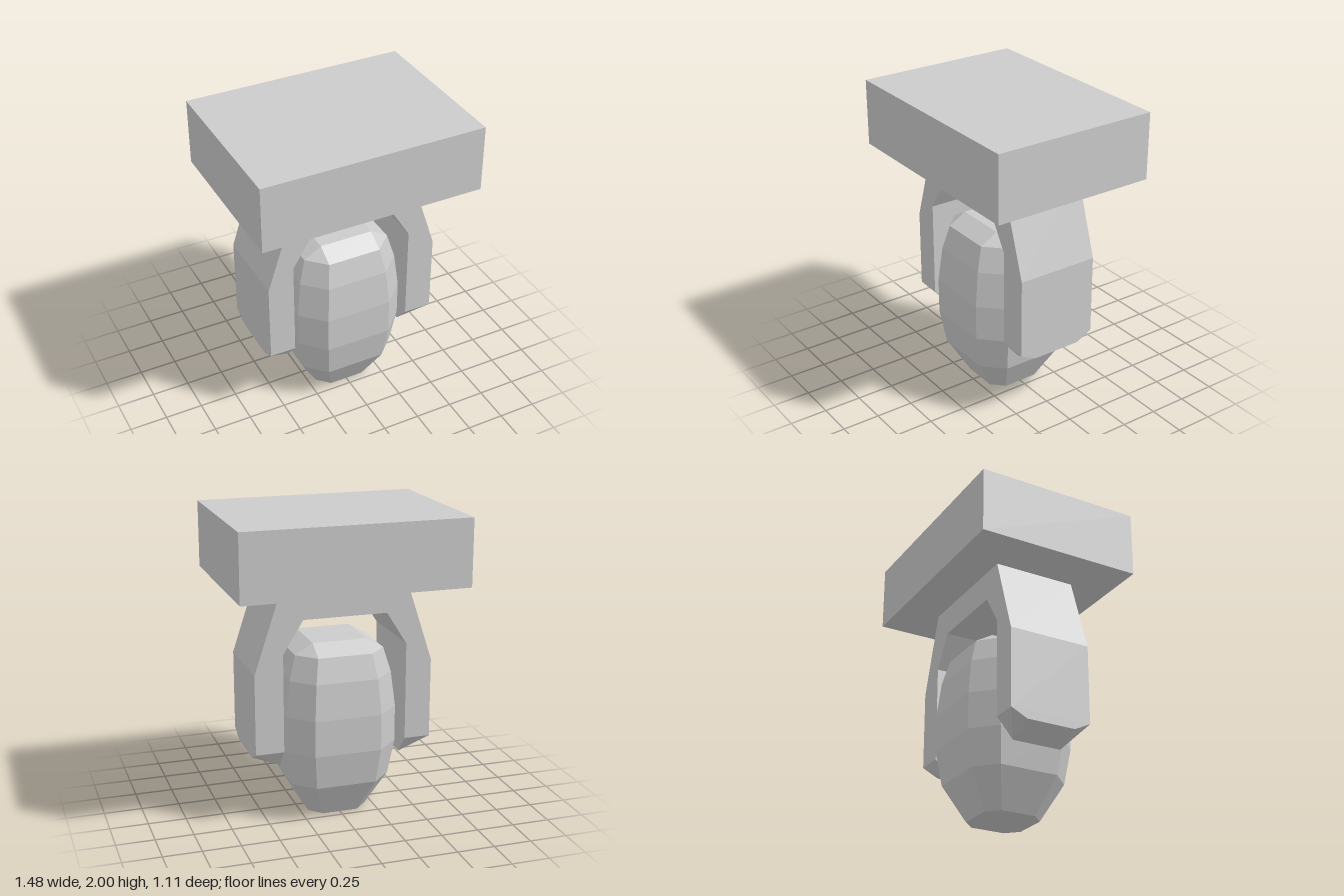
import * as THREE from 'three';
import { ConvexGeometry } from 'three/addons/geometries/ConvexGeometry.js';

const material = new THREE.MeshStandardMaterial({ color: 0xcccccc, flatShading: true });

function part(name, geometry) {
  const mesh = new THREE.Mesh(geometry, material);
  mesh.name = name;
  return mesh;
}

export function createModel() {
  const group = new THREE.Group();
  group.name = 'hangingPod';

  // Mounting block
  const block = part('mountingBlock', new THREE.BoxGeometry(1.48, 0.44, 1.11));
  block.position.y = 1.78;
  group.add(block);

  // Fork-shaped yoke hanging below the block
  const depth = 0.278;
  const outline = [
    [-0.42, 1.56], [-0.593, 1.03], [-0.593, 0.5], [-0.42, 0.5], [-0.42, 1.15], [-0.285, 1.365],
    [0.27, 1.365], [0.403, 1.15], [0.403, 0.5], [0.59, 0.5], [0.59, 1.03], [0.415, 1.56],
  ];
  const shape = new THREE.Shape(outline.map(([x, y]) => new THREE.Vector2(x, y)));
  const yoke = new THREE.ExtrudeGeometry(shape, { depth: 2 * depth, bevelEnabled: false });
  yoke.translate(0, 0, -depth);
  group.add(part('yoke', yoke));

  // Tapered tips under the yoke arms, longer on the inner side
  for (const [name, inner, outer] of [['leftArmTip', 0.403, 0.59], ['rightArmTip', -0.42, -0.593]]) {
    const points = [];
    for (const s of [-1, 1]) {
      points.push(
        new THREE.Vector3(inner, 0.5, s * depth), new THREE.Vector3(outer, 0.5, s * depth),
        new THREE.Vector3(inner, 0.37, s * 0.167), new THREE.Vector3(outer, 0.445, s * 0.167));
    }
    group.add(part(name, new ConvexGeometry(points)));
  }

  // Eight-sided pod: height, half width, half width of the flat side;
  // the last ring closes to a square cap
  const rings = [
    [0, 0.197, 0.118], [0.24, 0.33, 0.2], [0.475, 0.37, 0.222], [0.715, 0.37, 0.222],
    [0.95, 0.343, 0.206], [1.11, 0.298, 0.18], [1.18, 0.18, 0.18],
  ];
  const podPoints = [];
  for (const [y, wide, flat] of rings) {
    for (const sx of [-1, 1]) for (const sz of [-1, 1]) {
      podPoints.push(new THREE.Vector3(sx * wide, y, sz * flat));
      if (wide !== flat) podPoints.push(new THREE.Vector3(sx * flat, y, sz * wide));
    }
  }
  group.add(part('pod', new ConvexGeometry(podPoints)));

  return group;
}
